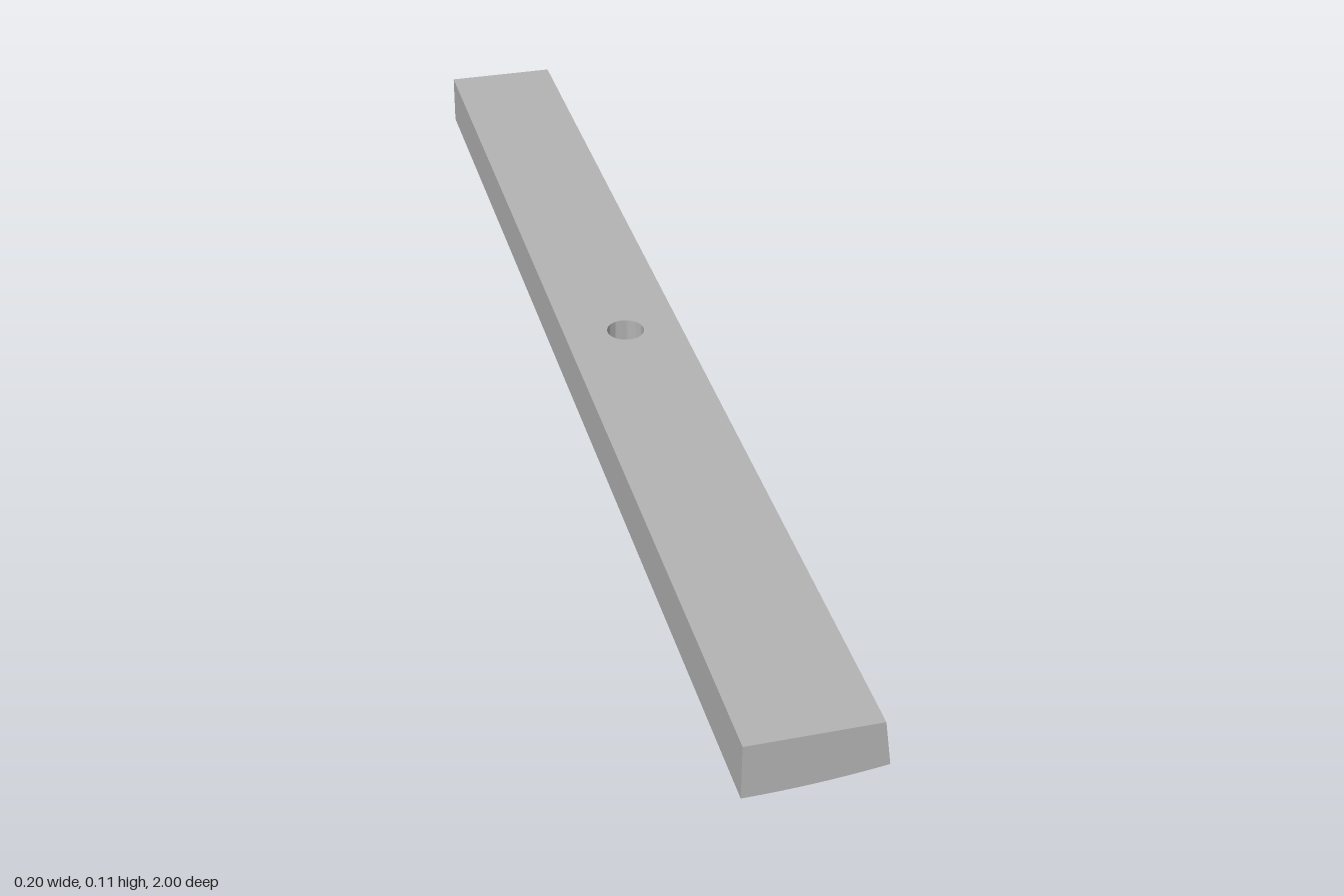
import * as THREE from 'three';
import { toCreasedNormals } from 'three/addons/utils/BufferGeometryUtils.js';

const TOP = 0.115, HOLE = 0.03, PAD_HEIGHT = 0.028;
// height of the gently curved underside
const underside = x => 0.028 + 0.35 * (x + 0.1) ** 2;

// Bar with a vertical through hole: rings of points run from the hole's top
// rim to the top edge, down the sides and back along the underside.
function barGeometry() {
  const around = 64, inward = 8, rows = inward + 3;
  const positions = [], index = [];
  for (let j = 0; j < rows; j++) {
    for (let i = 0; i < around; i++) {
      const a = (i / around) * Math.PI * 2, c = Math.cos(a), s = Math.sin(a);
      const m = Math.max(Math.abs(c), Math.abs(s));
      const outX = 0.1 * c / m, outZ = s / m;
      if (j === 0) positions.push(HOLE * c, TOP, HOLE * s);
      else if (j === 1) positions.push(outX * 0.95 - 0.005, TOP, outZ);
      else {
        const t = (j - 2) / inward;
        const x = THREE.MathUtils.lerp(outX, HOLE * c, t);
        positions.push(x, underside(x), THREE.MathUtils.lerp(outZ, HOLE * s, t));
      }
      const k = (i + 1) % around, n = (j + 1) % rows;
      const p = j * around + i, q = j * around + k;
      const r = n * around + i, w = n * around + k;
      index.push(p, q, r, q, w, r);
    }
  }
  const g = new THREE.BufferGeometry();
  g.setAttribute('position', new THREE.Float32BufferAttribute(positions, 3));
  g.setIndex(index);
  return toCreasedNormals(g, 0.5);
}

// Bend a unit-height pad so it follows the underside at a constant depth
function fitPad(g, x, z) {
  g.translate(x, 0, z);
  const p = g.attributes.position;
  for (let i = 0; i < p.count; i++) {
    p.setY(i, underside(p.getX(i)) + (p.getY(i) < 0 ? -PAD_HEIGHT : 0.002));
  }
  return toCreasedNormals(g, 0.5);
}

export function createModel() {
  const group = new THREE.Group();
  const grey = new THREE.MeshStandardMaterial({ color: 0xb3b3b3 });
  grey.name = 'grey';
  const add = (name, geometry) => {
    const mesh = new THREE.Mesh(geometry, grey);
    mesh.name = name;
    group.add(mesh);
  };

  add('bar', barGeometry());

  // plain raised pads: centre and length along the bar
  [[0.37, 0.13], [0.11, 0.105], [-0.375, 0.07], [-0.613, 0.105], [-0.89, 0.1]].forEach(([z, length], i) =>
    add(`pad${i + 1}`, fitPad(new THREE.BoxGeometry(0.084, 1, length, 4, 1, 1), -0.048, z)));

  // round pad and two small pegs
  add('roundPad', fitPad(new THREE.CylinderGeometry(0.041, 0.041, 1, 32), -0.048, 0.62));
  [0.905, 0.847].forEach((z, i) =>
    add(`peg${i + 1}`, fitPad(new THREE.CylinderGeometry(0.009, 0.009, 1, 16), -0.081, z)));

  // rib across the bar beside the hole
  add('crossRib', fitPad(new THREE.BoxGeometry(0.147, 1, 0.016, 8, 1, 1), -0.0165, -0.157));

  return group;
}
